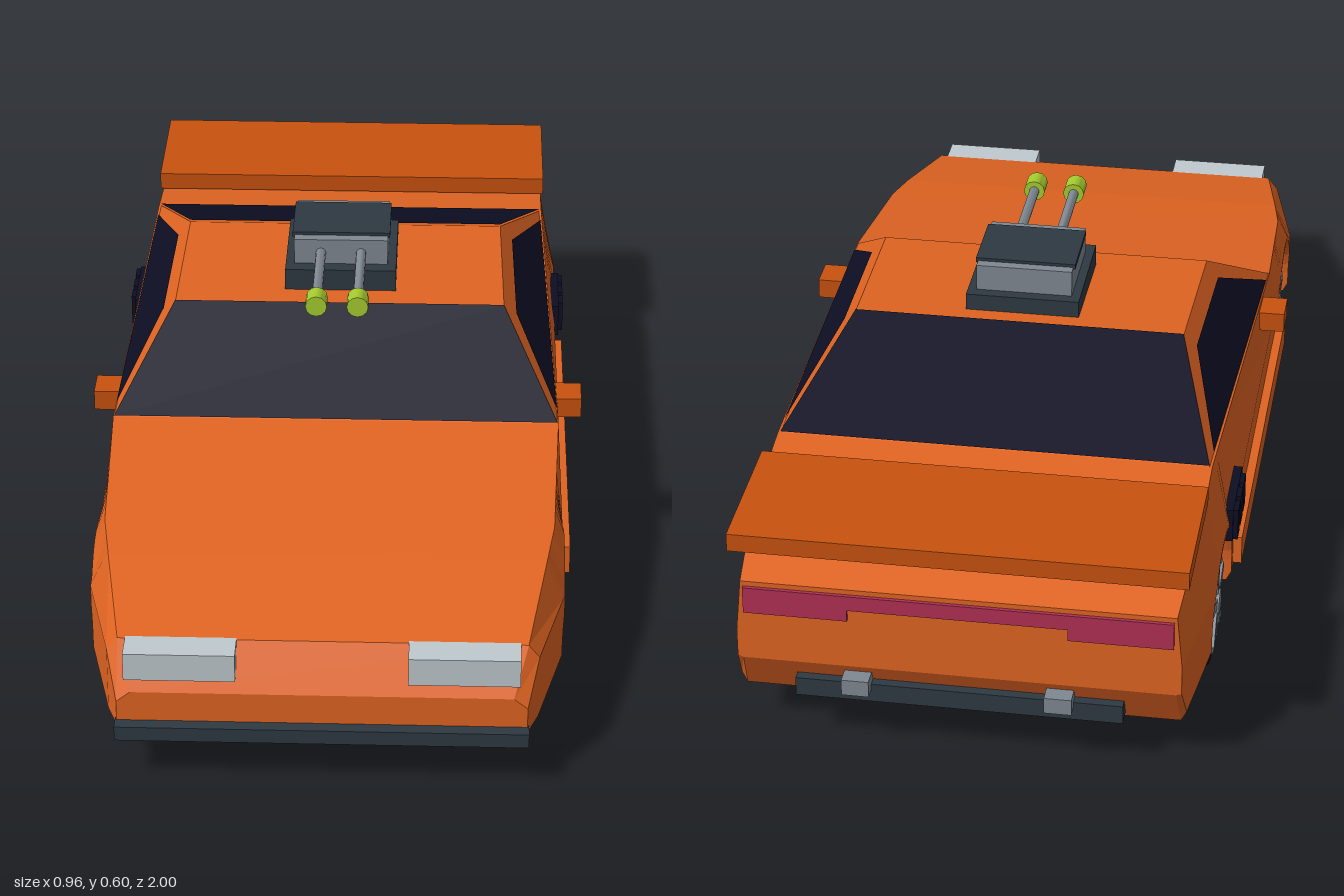
import * as THREE from 'three';
import { toCreasedNormals } from 'three/addons/utils/BufferGeometryUtils.js';

const mat = (name, color) => {
  const m = new THREE.MeshStandardMaterial({ color });
  m.name = name;
  return m;
};

export function createModel() {
  const car = new THREE.Group();
  car.name = 'car';
  const orange = mat('orange paint', 0xe06422);
  const darkOrange = mat('dark orange trim', 0xc8520f);
  const black = mat('glass and rubber black', 0x0e0e24);
  const slate = mat('slate', 0x2e3942);
  const grey = mat('metal grey', 0x7f8892);
  const silver = mat('headlight silver', 0xc0c9ce);
  const red = mat('tail light red', 0xb03054);
  const green = mat('muzzle green', 0xa6cc30);

  const add = (name, geo, material, parent = car) => {
    const m = new THREE.Mesh(geo, material);
    m.name = name;
    parent.add(m);
    return m;
  };
  // box given by its limits
  const box = (name, x0, x1, y0, y1, z0, z1, material, parent = car) => {
    const g = new THREE.BoxGeometry(x1 - x0, y1 - y0, z1 - z0);
    g.translate((x0 + x1) / 2, (y0 + y1) / 2, (z0 + z1) / 2);
    return add(name, g, material, parent);
  };
  const pair = (name, x0, x1, ...rest) => {
    box(name + 'Left', x0, x1, ...rest);
    box(name + 'Right', -x1, -x0, ...rest);
  };
  const faceted = (pos, index) => {
    let g = new THREE.BufferGeometry();
    g.setAttribute('position', new THREE.Float32BufferAttribute(pos, 3));
    g.setIndex(index);
    g = g.toNonIndexed();
    g.computeVertexNormals();
    return g;
  };

  // Lower body: cross-sections along z, the floor rising over the wheels
  const axles = [0.575, -0.595], wheelY = 0.126, archR = 0.137;
  const keys = [ // z, half width, deck half width, deck height
    [0.975, 0.37, 0.345, 0.175], [0.92, 0.39, 0.37, 0.255], [0.7, 0.44, 0.405, 0.3],
    [0.6, 0.44, 0.42, 0.315], [0.28, 0.44, 0.432, 0.36], [-0.58, 0.44, 0.41, 0.41],
    [-0.7, 0.437, 0.41, 0.395], [-0.85, 0.42, 0.405, 0.37], [-0.975, 0.405, 0.395, 0.335],
  ];
  const sample = (z) => {
    let i = 0;
    while (i < keys.length - 2 && z < keys[i + 1][0]) i++;
    const a = keys[i], b = keys[i + 1], t = (a[0] - z) / (a[0] - b[0]);
    return [1, 2, 3].map((k) => a[k] + (b[k] - a[k]) * t);
  };
  const floorY = (z) => {
    for (const c of axles) {
      const d = Math.abs(z - c);
      if (d < archR) return wheelY + Math.sqrt(archR * archR - d * d);
    }
    return z < -0.93 ? 0.085 + (-0.93 - z) * 1.9 : 0.085;
  };
  const zs = keys.map((k) => k[0]).concat(-0.93);
  for (const c of axles) {
    zs.push(c + archR + 0.001, c - archR - 0.001);
    for (let i = 0; i <= 16; i++) zs.push(c + (archR - 0.0001) * Math.cos((i / 16) * Math.PI));
  }
  zs.sort((a, b) => b - a);
  const pos = [], index = [], n = 8;
  zs.forEach((z) => {
    const [w, wt, yt] = sample(z), yb = floorY(z);
    const half = [
      [w - 0.01, yb], [w, Math.max(0.105, yb + 0.004)],
      [w, Math.min(yt - 0.02, Math.max(0.23, yb + 0.012))], [wt, yt],
    ];
    half.forEach(([x, y]) => pos.push(x, y, z));
    half.reverse().forEach(([x, y]) => pos.push(-x, y, z));
  });
  for (let i = 0; i < zs.length - 1; i++) {
    for (let j = 0; j < n; j++) {
      const a = i * n + j, b = i * n + ((j + 1) % n);
      index.push(a, a + n, b, b, a + n, b + n);
    }
  }
  const last = (zs.length - 1) * n;
  for (let j = 1; j < n - 1; j++) index.push(0, j, j + 1, last, last + j + 1, last + j);
  add('body', faceted(pos, index), orange);

  // Cabin: flat sided, leaning inwards
  const sideX = (y, z) => 0.43 - 0.776 * (y - 0.36) - 0.016 * (z - 0.28);
  const outline = [[0.28, 0.36], [0.055, 0.5], [-0.28, 0.515], [-0.58, 0.41]];
  const cabin = [1, -1].flatMap((s) => outline.flatMap(([z, y]) => [s * sideX(y, z), y, z]));
  const cabinIndex = [0, 2, 1, 0, 3, 2, 4, 5, 6, 4, 6, 7];
  for (let i = 0; i < 4; i++) {
    const k = (i + 1) % 4;
    cabinIndex.push(i, k, i + 4, k, k + 4, i + 4);
  }
  add('cabin', faceted(cabin, cabinIndex), orange);

  // Window panes, set just proud of the cabin
  const pane = (name, corners) => {
    const p = corners.map((c) => new THREE.Vector3(...c));
    const normal = p[1].clone().sub(p[0]).cross(p[2].clone().sub(p[0])).normalize();
    const out = p[0].clone().sub(new THREE.Vector3(0, 0.3, -0.15));
    if (normal.dot(out) < 0) { p.reverse(); normal.negate(); }
    p.forEach((v) => v.addScaledVector(normal, 0.004));
    add(name, faceted(p.flatMap((v) => v.toArray()), [0, 1, 2, 0, 2, 3]), black);
  };
  const across = (name, a, b) => pane(name, [
    [sideX(a[1], a[0]), a[1], a[0]], [-sideX(a[1], a[0]), a[1], a[0]],
    [-sideX(b[1], b[0]), b[1], b[0]], [sideX(b[1], b[0]), b[1], b[0]],
  ]);
  across('windshield', outline[0], outline[1]);
  across('rearWindow', outline[2], outline[3]);
  for (const s of [1, -1]) {
    pane(s > 0 ? 'sideWindowLeft' : 'sideWindowRight',
      [[0.235, 0.366], [0.035, 0.472], [-0.27, 0.487], [-0.53, 0.41]]
        .map(([z, y]) => [s * sideX(y, z), y, z]));
  }

  // Side trim
  pair('sill', 0.42, 0.457, 0.115, 0.172, -0.44, 0.43, orange);
  pair('mirror', 0.42, 0.479, 0.32, 0.36, 0.11, 0.178, darkOrange);
  pair('sideVent', 0.42, 0.447, 0.22, 0.288, -0.53, -0.37, black);
  for (let i = 0; i < 3; i++) {
    const z = -0.425 - i * 0.05;
    pair('ventSlat' + i, 0.44, 0.456, 0.222, 0.286, z, z + 0.035, black);
  }

  // Front end
  box('frontBumper', -0.373, 0.373, 0.088, 0.116, 0.92, 1, slate);
  pair('headlight', 0.155, 0.356, 0.202, 0.256, 0.91, 0.977, silver);

  // Rear end
  box('spoiler', -0.415, 0.415, 0.4, 0.435, -0.98, -0.69, darkOrange);
  pair('spoilerSupport', 0.27, 0.31, 0.36, 0.402, -0.82, -0.77, darkOrange);
  box('tailLightStrip', -0.2, 0.2, 0.295, 0.325, -0.982, -0.974, red);
  pair('tailLight', 0.2, 0.39, 0.272, 0.325, -0.982, -0.974, red);
  box('rearBumper', -0.3, 0.3, 0.098, 0.135, -0.975, -0.92, slate);
  pair('exhaust', 0.16, 0.21, 0.124, 0.156, -1, -0.94, grey);

  // Roof turret
  const turret = new THREE.Group();
  turret.name = 'turret';
  car.add(turret);
  box('turretBase', -0.11, 0.11, 0.498, 0.546, -0.238, 0, slate, turret);
  box('turretHousing', -0.093, 0.093, 0.546, 0.598, -0.215, -0.03, grey, turret);
  box('turretLid', -0.097, 0.097, 0.594, 0.604, -0.195, -0.052, slate, turret);
  const rod = (name, x, r, z0, z1, material) => {
    const g = new THREE.CylinderGeometry(r, r, z1 - z0, 12);
    g.rotateX(Math.PI / 2);
    g.translate(x, 0.57, (z0 + z1) / 2);
    add(name, toCreasedNormals(g, 0.6), material, turret);
  };
  for (const x of [-0.04, 0.04]) {
    rod('barrel', x, 0.01, -0.04, 0.19, grey);
    rod('muzzle', x, 0.021, 0.167, 0.21, green);
  }

  // Wheels: recessed tyre, rim ring, five spokes, hub and brake caliper
  const lathe = (pts) => toCreasedNormals(
    new THREE.LatheGeometry(pts.map((p) => new THREE.Vector2(...p)), 40), 0.6);
  const tyre = lathe([[0, -0.06], [0.12, -0.06], [0.125, -0.053], [0.125, 0.053],
    [0.12, 0.06], [0.096, 0.06], [0.096, 0.03], [0, 0.03]]);
  const rim = lathe([[0.084, 0.03], [0.1, 0.03], [0.1, 0.066], [0.084, 0.066], [0.084, 0.03]]);
  for (const z of axles) {
    for (const s of [1, -1]) {
      const wheel = new THREE.Group();
      wheel.name = (z > 0 ? 'front' : 'rear') + 'Wheel' + (s > 0 ? 'Left' : 'Right');
      wheel.position.set(s * 0.36, wheelY, z);
      wheel.rotation.z = (-s * Math.PI) / 2;
      car.add(wheel);
      add('tyre', tyre, black, wheel);
      add('rim', rim, grey, wheel);
      const hub = new THREE.CylinderGeometry(0.024, 0.024, 0.045, 16);
      hub.translate(0, 0.051, 0);
      add('hub', toCreasedNormals(hub, 0.6), grey, wheel);
      for (let i = 0; i < 5; i++) {
        const spoke = new THREE.BoxGeometry(0.08, 0.02, 0.02);
        spoke.translate(0.049, 0.06, 0);
        spoke.rotateY((i / 5) * Math.PI * 2 + (s > 0 ? Math.PI : 0));
        add('spoke', spoke, grey, wheel);
      }
      const caliper = new THREE.BoxGeometry(0.042, 0.016, 0.032);
      caliper.translate(-s * 0.042, 0.037, 0.024);
      add('brakeCaliper', caliper, darkOrange, wheel);
    }
  }
  return car;
}
